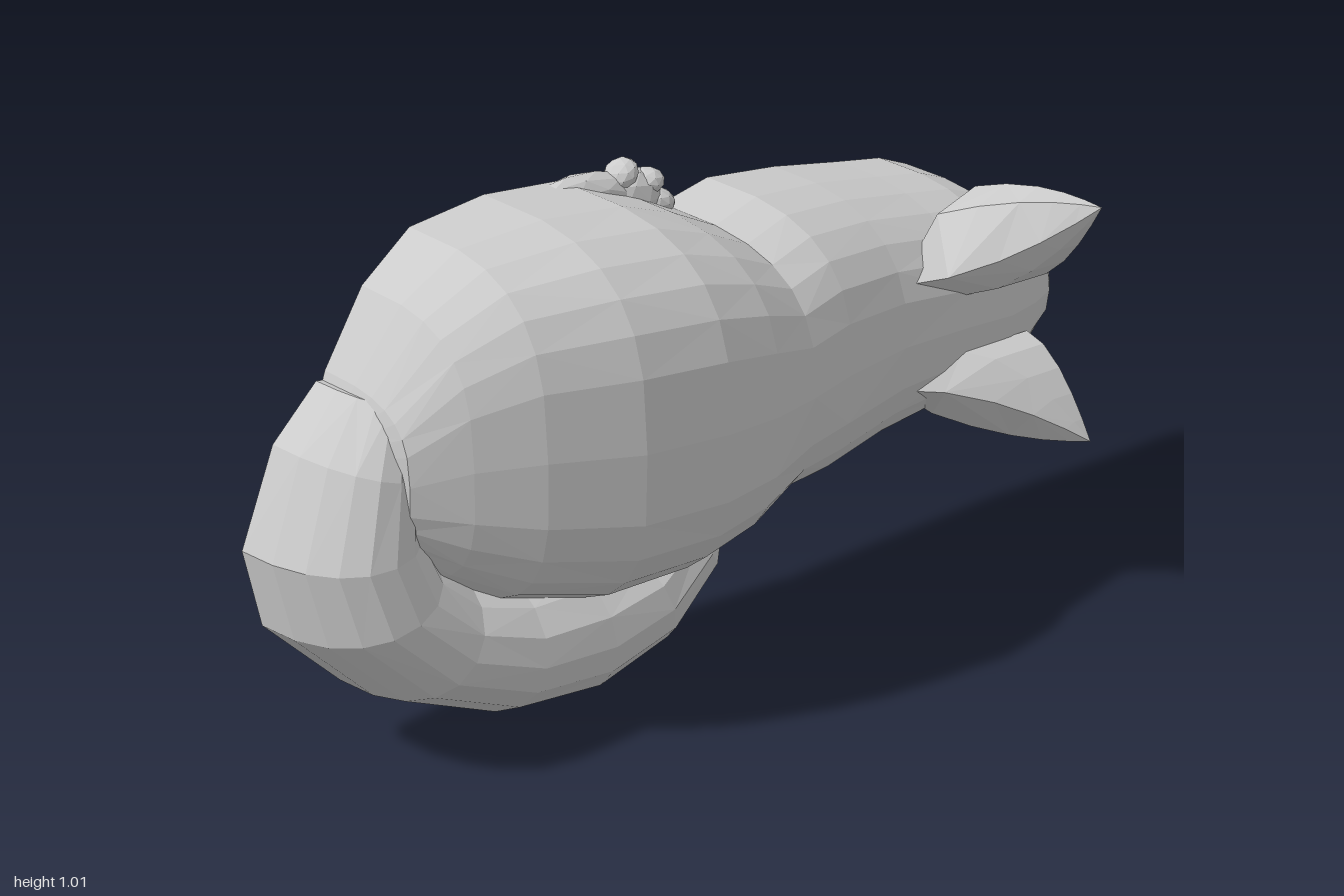
import * as THREE from 'three';

const BACK = -0.285; // flat back plane
const mat = new THREE.MeshStandardMaterial({ color: 0xcccccc, flatShading: true });
const thinMat = new THREE.MeshStandardMaterial({ color: 0xcccccc, flatShading: true, side: THREE.DoubleSide });

// Skin a list of equal-length point rings; closed rings also get end caps.
function skin(name, rings, closed, material) {
  const n = rings[0].length, pos = rings.flat(2), idx = [];
  const m = closed ? n : n - 1;
  for (let i = 0; i < rings.length - 1; i++) {
    for (let k = 0; k < m; k++) {
      const a = i * n + k, b = i * n + (k + 1) % n, c = a + n, d = b + n;
      if ((i + k) % 2) idx.push(a, b, c, b, d, c);
      else idx.push(a, b, d, a, d, c);
    }
  }
  if (closed) {
    const last = (rings.length - 1) * n;
    for (let k = 1; k < n - 1; k++) idx.push(0, k + 1, k, last, last + k, last + k + 1);
  }
  const geo = new THREE.BufferGeometry();
  geo.setAttribute('position', new THREE.Float32BufferAttribute(pos, 3));
  geo.setIndex(idx);
  geo.computeVertexNormals();
  const mesh = new THREE.Mesh(geo, material);
  mesh.name = name;
  return mesh;
}

// Arched section from edge A to edge B on the back plane, rising to height z;
// a smaller power p gives a boxier arch
function arch([ax, ay, bx, by, top], p, n) {
  const ring = [];
  for (let k = 0; k <= n; k++) {
    const t = Math.PI * k / n, c = Math.cos(t);
    const w = (1 - Math.sign(c) * Math.pow(Math.abs(c), p)) / 2;
    const h = Math.pow(Math.max(0, Math.sin(t)), p);
    ring.push([ax + (bx - ax) * w, ay + (by - ay) * w, BACK + (top - BACK) * h]);
  }
  return ring;
}

// Faceted ellipsoid, flattened where it meets the back plane
function blob(name, [x, y, z], [rx, ry, rz], turn = 0) {
  const geo = new THREE.IcosahedronGeometry(1, 1);
  geo.scale(rx, ry, rz).rotateZ(turn).translate(x, y, z);
  const p = geo.attributes.position;
  for (let i = 0; i < p.count; i++) p.setZ(i, Math.max(BACK, p.getZ(i)));
  geo.computeVertexNormals();
  const mesh = new THREE.Mesh(geo, mat);
  mesh.name = name;
  return mesh;
}

export function createModel() {
  const fox = new THREE.Group();
  fox.name = 'sleepingFox';

  // Body, neck, head and snout: x, upper y, lower y, front z
  const bodyStations = [
    [-0.82, 0.70, 0.51, -0.12], [-0.80, 0.755, 0.45, -0.04], [-0.71, 0.895, 0.36, 0.03],
    [-0.60, 0.98, 0.29, 0.10], [-0.43, 1.003, 0.247, 0.17], [-0.25, 0.99, 0.252, 0.195],
    [-0.12, 0.945, 0.285, 0.185], [0, 0.887, 0.333, 0.155], [0.12, 0.914, 0.318, 0.13],
    [0.3, 0.897, 0.335, 0.10], [0.48, 0.868, 0.355, 0.10], [0.6, 0.85, 0.365, 0.105],
    [0.68, 0.82, 0.405, 0.095], [0.76, 0.76, 0.46, 0.06], [0.81, 0.725, 0.495, 0.015],
    [0.845, 0.70, 0.525, -0.055], [0.88, 0.69, 0.54, -0.10], [0.93, 0.68, 0.55, -0.125],
    [0.97, 0.663, 0.567, -0.15], [0.995, 0.64, 0.59, -0.185]];
  fox.add(skin('bodyAndHead', bodyStations.map(([x, hi, lo, z]) =>
    arch([x, hi, x, lo, z], THREE.MathUtils.clamp(0.68 + 0.25 * x, 0.65, 0.8), 14)), true, mat));

  // Tail curled under the body: inner edge x, y, outer edge x, y, front z
  const tailStations = [
    [-0.70, 0.72, -0.82, 0.74, -0.10], [-0.70, 0.58, -0.92, 0.645, -0.05],
    [-0.70, 0.48, -1.0, 0.46, -0.02], [-0.67, 0.41, -0.97, 0.30, 0],
    [-0.62, 0.37, -0.81, 0.13, 0.02], [-0.53, 0.35, -0.60, 0.03, 0.032],
    [-0.40, 0.35, -0.39, 0.0, 0.032], [-0.29, 0.35, -0.20, 0.05, 0.025],
    [-0.20, 0.37, -0.05, 0.17, 0.0], [-0.15, 0.42, 0.02, 0.28, -0.05],
    [-0.14, 0.45, 0.025, 0.33, -0.14]];
  fox.add(skin('tail', tailStations.map(s => arch(s, 0.95, 10)), true, mat));

  // Paw with toes peeking out above the back
  const paw = new THREE.Group();
  paw.name = 'paw';
  paw.add(blob('pawLeg', [-0.19, 0.945, -0.26], [0.14, 0.055, 0.05], -0.15));
  paw.add(blob('pawPad', [-0.10, 0.935, -0.26], [0.075, 0.055, 0.06], -0.5));
  [[-0.13, 0.985], [-0.075, 0.96], [-0.055, 0.92]].forEach(([x, y], i) =>
    paw.add(blob('toe', [x, y, -0.25 + 0.008 * i], [0.036, 0.026, 0.038], 0.7 - 0.5 * i)));
  fox.add(paw);

  // Ears and closed eyes, mirrored about the middle of the head
  const MID = 0.62, tip = [0.652, 0.25, 0.282];
  // Ear point: the width narrows late, so the outline is leaf shaped
  const earRow = (base, t, side) => base.map(([x, y, z]) => [
    x + (tip[0] - x) * t,
    MID + side * (y + (tip[1] - y) * Math.pow(t, 1.8) + (y > 0.2 ? 0.1 * t * (1 - t) : 0)),
    z + (tip[2] - z) * t]);
  for (const side of [1, -1]) {
    const label = side > 0 ? 'upper' : 'lower';
    // Cupped back of the ear, from the crown edge round to the inner edge
    const shell = [[0.67, 0.20, -0.02], [0.60, 0.235, -0.01], [0.46, 0.215, 0.02],
      [0.31, 0.11, 0.06], [0.47, 0.06, 0.09], [0.65, 0.06, 0.10]];
    fox.add(skin(label + 'Ear',
      [0, 0.25, 0.5, 0.7, 0.87, 1].map(t => earRow(shell, t, side)), false, thinMat));
    // Sunken lining inside the cup
    const lining = [shell[0], [0.58, 0.19, 0.03], [0.57, 0.11, 0.07], shell[5]];
    fox.add(skin(label + 'EarLining',
      [0, 0.25, 0.5, 0.7, 0.87, 1].map(t => earRow(lining, t, side)), false, thinMat));
    // Eyelid ridge
    const lid = new THREE.CatmullRomCurve3([[0.775, 0.125, -0.025], [0.795, 0.105, -0.015],
      [0.815, 0.085, -0.025], [0.835, 0.075, -0.06]]
      .map(([x, y, z]) => new THREE.Vector3(x, MID + side * y, z)));
    const eye = new THREE.Mesh(new THREE.TubeGeometry(lid, 6, 0.012, 5), mat);
    eye.name = label + 'Eye';
    fox.add(eye);
  }

  // Nose
  fox.add(blob('nose', [0.967, 0.615, -0.195], [0.033, 0.04, 0.045]));
  return fox;
}
